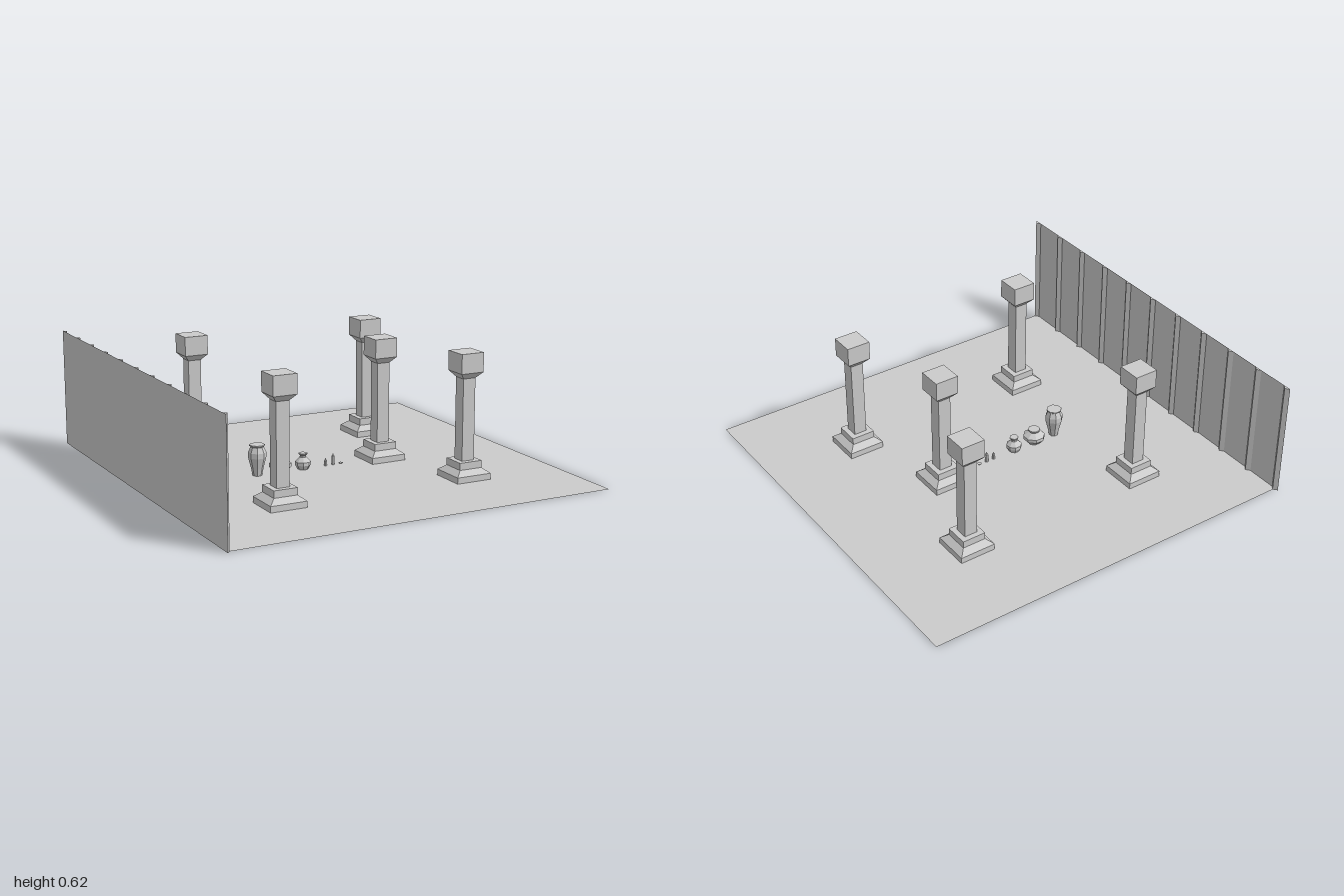
import * as THREE from 'three';

const material = new THREE.MeshStandardMaterial({ color: 0xcccccc, flatShading: true });
const thin = new THREE.MeshStandardMaterial({ color: 0xcccccc, flatShading: true, side: THREE.DoubleSide });

// Faceted solid of revolution from [radius, height] pairs, listed bottom to top
function turned(name, profile, sides, x, z) {
  const points = profile.map(([r, y]) => new THREE.Vector2(r, y));
  const geometry = new THREE.LatheGeometry(points, sides, Math.PI / sides);
  const mesh = new THREE.Mesh(geometry, material);
  mesh.name = name;
  mesh.position.set(x, 0, z);
  return mesh;
}

// Square column: half widths become corner radii of a four-sided lathe
function column(x, z) {
  const profile = [
    [0.092, 0], [0.092, 0.03], [0.06, 0.055], [0.06, 0.09],
    [0.033, 0.09], [0.033, 0.49], [0.06, 0.52], [0.06, 0.615], [0, 0.615],
  ].map(([half, y]) => [half * Math.SQRT2, y]);
  return turned('column', profile, 4, x, z);
}

export function createModel() {
  const model = new THREE.Group();
  model.name = 'columnCourt';
  const half = 0.98, wallHeight = 0.59;

  // Floor
  const floor = new THREE.Mesh(new THREE.PlaneGeometry(2 * half, 2 * half), thin);
  floor.name = 'floor';
  floor.rotation.x = -Math.PI / 2;
  model.add(floor);

  // Wall with triangular ribs on its inner face
  const wall = new THREE.Group();
  wall.name = 'ribbedWall';
  const panel = new THREE.Mesh(new THREE.PlaneGeometry(2 * half, wallHeight), thin);
  panel.name = 'wallPanel';
  panel.rotation.y = Math.PI / 2;
  panel.position.set(-half, wallHeight / 2, 0);
  wall.add(panel);
  const section = new THREE.Shape([
    new THREE.Vector2(0, -0.02), new THREE.Vector2(0.016, 0), new THREE.Vector2(0, 0.02),
  ]);
  const ribGeometry = new THREE.ExtrudeGeometry(section, { depth: wallHeight, bevelEnabled: false });
  ribGeometry.rotateX(-Math.PI / 2);
  for (let i = -5; i <= 5; i++) {
    const rib = new THREE.Mesh(ribGeometry, material);
    rib.name = 'wallRib';
    rib.position.set(-half, 0, i * half / 5);
    wall.add(rib);
  }
  model.add(wall);

  // Four corner columns and one inner column
  for (const x of [-0.49, 0.49]) for (const z of [-0.49, 0.49]) model.add(column(x, z));
  model.add(column(0.305, 0));

  // Vases
  model.add(turned('tallVase', [
    [0, 0], [0.023, 0], [0.03, 0.035], [0.044, 0.09], [0.044, 0.115],
    [0.032, 0.142], [0.038, 0.147], [0.038, 0.153], [0, 0.153],
  ], 8, -0.37, 0));
  model.add(turned('wideVase', [
    [0, 0], [0.03, 0], [0.055, 0.027], [0.055, 0.045], [0.024, 0.066],
    [0.03, 0.073], [0.03, 0.08], [0, 0.08],
  ], 8, -0.247, 0));
  model.add(turned('smallVase', [
    [0, 0], [0.026, 0], [0.039, 0.022], [0.039, 0.038], [0.016, 0.06],
    [0.015, 0.068], [0.022, 0.075], [0.022, 0.08], [0, 0.08],
  ], 8, -0.124, 0));

  // Two little candles and a flat dish
  model.add(turned('shortCandle', [[0.009, 0], [0.009, 0.025], [0.004, 0.03], [0, 0.04]], 6, 0, 0));
  model.add(turned('tallCandle', [[0.009, 0], [0.009, 0.043], [0.004, 0.047], [0, 0.06]], 6, 0.042, 0));
  model.add(turned('dish', [[0.007, 0], [0.011, 0.005], [0, 0.005]], 8, 0.085, 0));

  return model;
}
